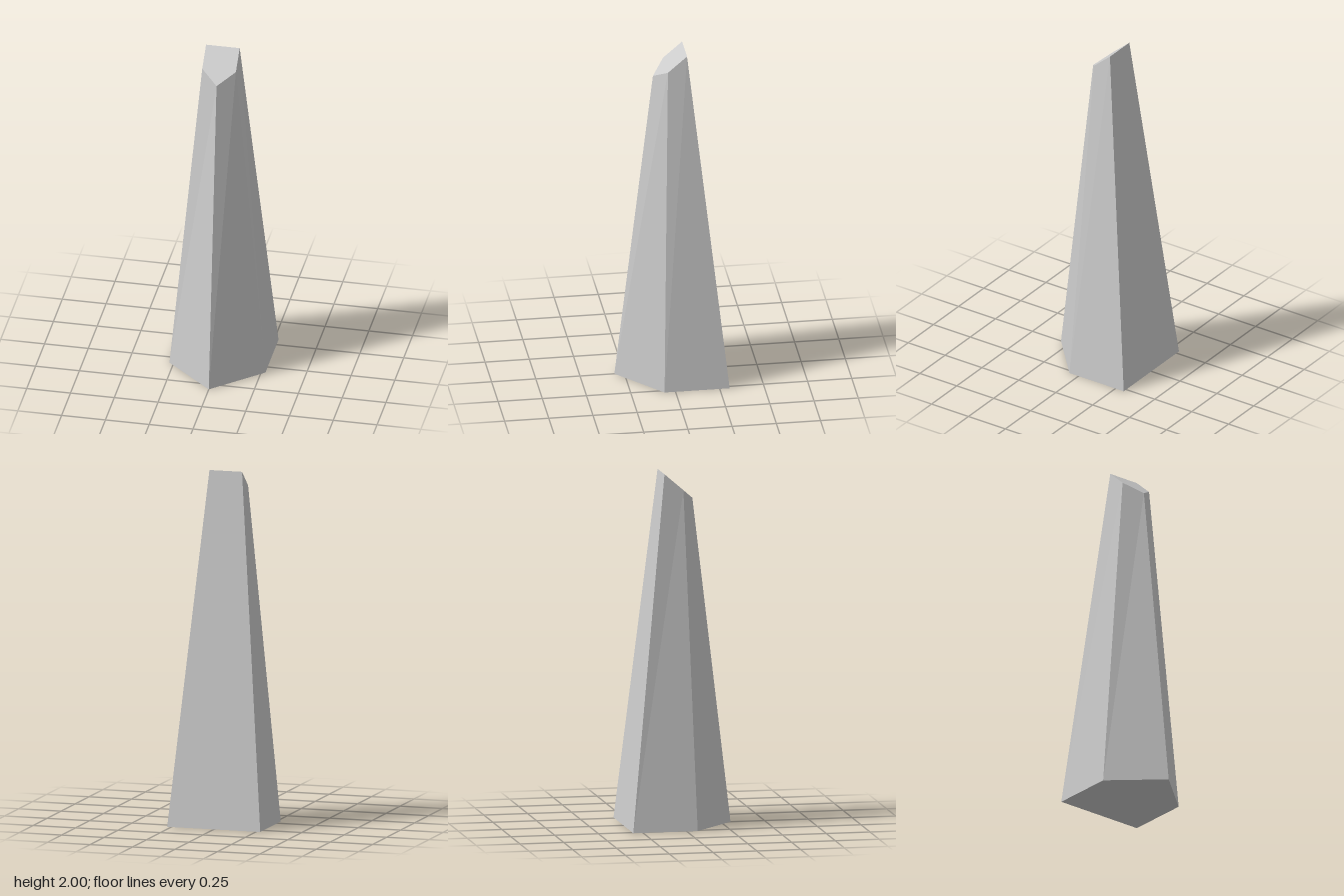
import * as THREE from 'three';

// Closed, flat-faced solid between two rings of points, both counterclockwise seen from above
function loft(bottom, top) {
  const positions = [];
  const tri = (a, b, c) => positions.push(...a, ...b, ...c);
  const n = bottom.length;
  for (let i = 0; i < n; i++) {
    const j = (i + 1) % n;
    tri(bottom[i], bottom[j], top[j]);
    tri(bottom[i], top[j], top[i]);
  }
  // End caps
  for (let i = 1; i < n - 1; i++) {
    tri(top[0], top[i], top[i + 1]);
    tri(bottom[0], bottom[i + 1], bottom[i]);
  }
  const geometry = new THREE.BufferGeometry();
  geometry.setAttribute('position', new THREE.Float32BufferAttribute(positions, 3));
  geometry.computeVertexNormals();
  return geometry;
}

// House-shaped pentagon: front point, two side corners, two back corners
function pentagon(halfWidth, front, shoulder, back, heightAt) {
  return [
    [0, front], [halfWidth, shoulder], [halfWidth, back],
    [-halfWidth, back], [-halfWidth, shoulder],
  ].map(([x, z]) => [x, heightAt(z), z]);
}

export function createModel() {
  const group = new THREE.Group();
  group.name = 'taperedSpike';

  const backZ = -0.091, frontZ = 0.088;
  const base = pentagon(0.274, 0.306, 0.062, -0.306, () => 0);
  // The tip is cut off on a slope, highest at the back
  const tip = pentagon(0.096, frontZ, 0.017, backZ,
    (z) => 2 - 0.155 * (z - backZ) / (frontZ - backZ));

  const spike = new THREE.Mesh(
    loft(base, tip),
    new THREE.MeshStandardMaterial({ color: 0xcccccc, flatShading: true }),
  );
  spike.name = 'spike';
  group.add(spike);
  return group;
}
